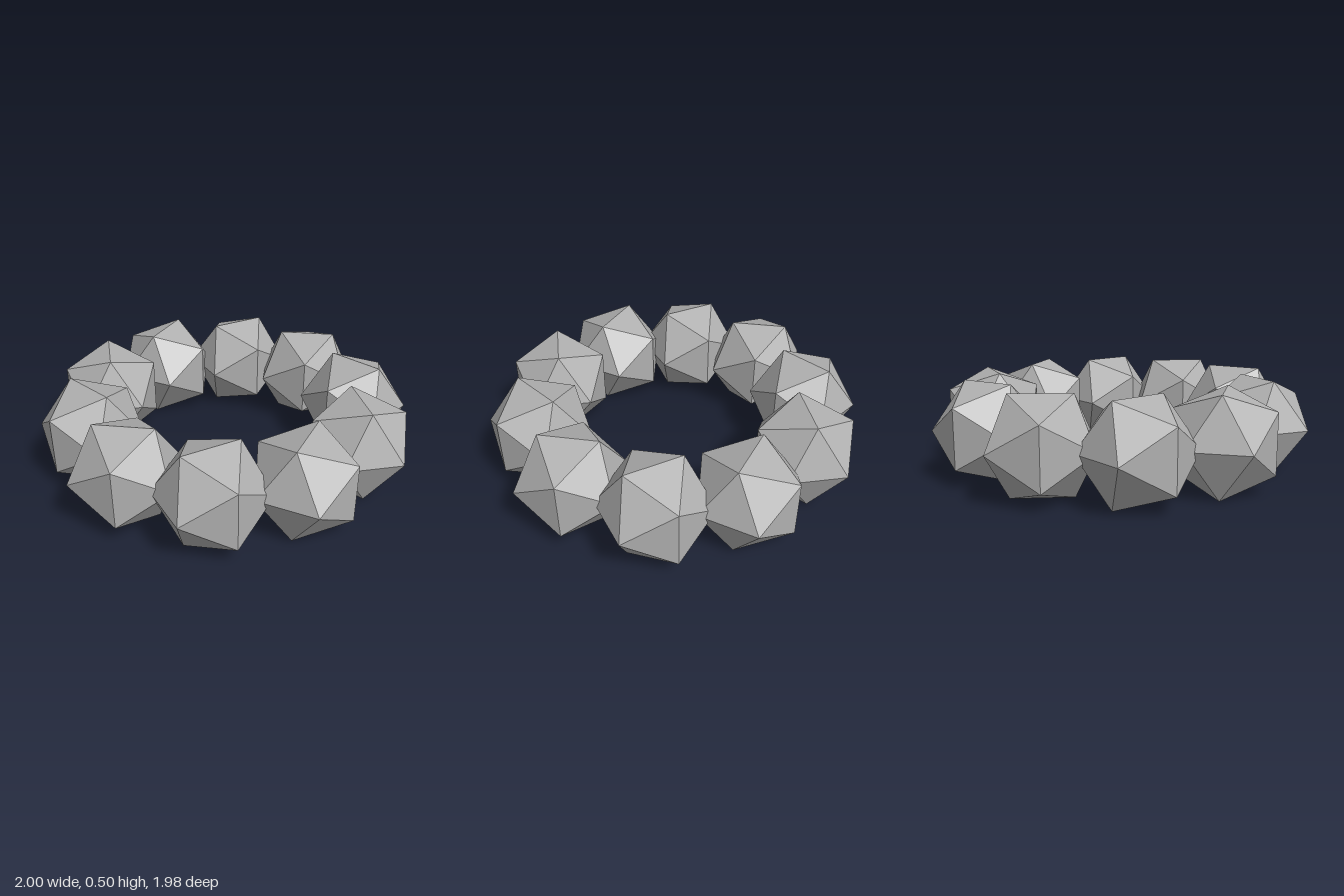
import * as THREE from 'three';

const COUNT = 10;
const BEAD_RADIUS = 0.293;
const RING_RADIUS = 0.733;
const TWIST = THREE.MathUtils.degToRad(56); // turn of each bead's top edge from the radial direction

export function createModel() {
  const ring = new THREE.Group();
  ring.name = 'beadRing';

  const stone = new THREE.MeshStandardMaterial({ color: 0xb0b0b0 });
  stone.name = 'grey stone';

  // Default icosahedron has an edge on top and one below, so it rests on that lower edge
  const beadGeometry = new THREE.IcosahedronGeometry(BEAD_RADIUS, 0);
  beadGeometry.computeBoundingBox();
  const restHeight = -beadGeometry.boundingBox.min.y;

  // Ten faceted beads, each turned with its place on the ring
  for (let i = 0; i < COUNT; i++) {
    const angle = (i / COUNT) * Math.PI * 2;
    const bead = new THREE.Mesh(beadGeometry, stone);
    bead.name = `bead${i + 1}`;
    bead.position.set(Math.cos(angle) * RING_RADIUS, restHeight, Math.sin(angle) * RING_RADIUS);
    bead.rotation.y = -(angle + TWIST);
    ring.add(bead);
  }
  return ring;
}
